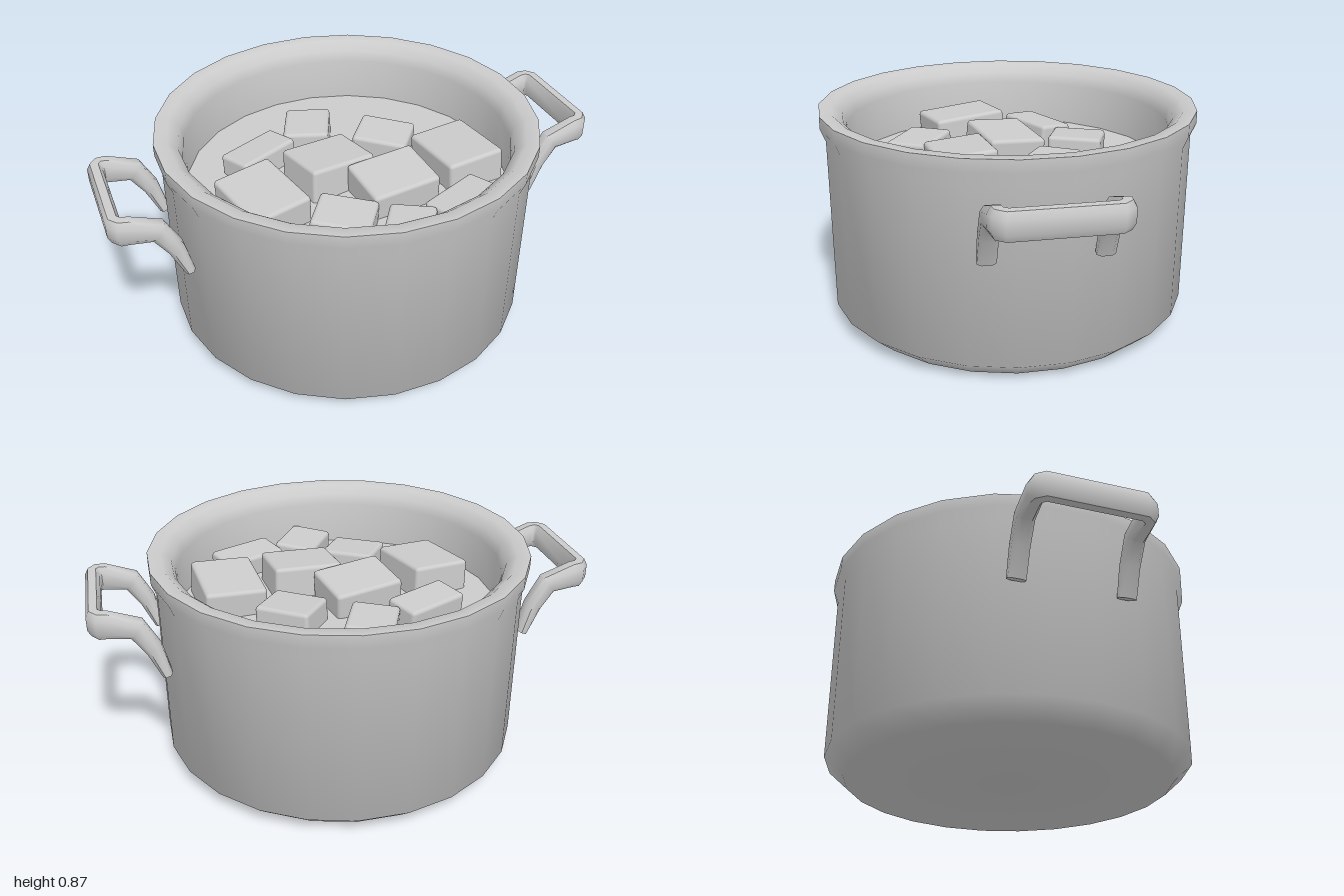
import * as THREE from 'three';
import { toCreasedNormals } from 'three/addons/utils/BufferGeometryUtils.js';
import { RoundedBoxGeometry } from 'three/addons/geometries/RoundedBoxGeometry.js';

const SIDES = 24;
const SOUP_Y = 0.61;

// Chamfered-rectangle bar swept along a path; each station is [x, y, z, halfWidth, halfHeight]
function sweepBar(stations) {
  const section = [[1, 0.5], [0.55, 1], [-0.55, 1], [-1, 0.5], [-1, -0.5], [-0.55, -1], [0.55, -1], [1, -0.5]];
  const n = section.length, last = stations.length - 1;
  const points = stations.map(s => new THREE.Vector3(s[0], s[1], s[2]));
  const heading = (a, b) => points[b].clone().sub(points[a]).normalize();
  const positions = [], index = [];
  points.forEach((p, i) => {
    const tangent = new THREE.Vector3();
    if (i > 0) tangent.add(heading(i - 1, i));
    if (i < last) tangent.add(heading(i, i + 1));
    tangent.normalize();
    const across = tangent.clone().cross(new THREE.Vector3(0, 1, 0)).normalize();
    const up = across.clone().cross(tangent);
    for (const [a, u] of section) {
      const v = p.clone().addScaledVector(across, a * stations[i][3]).addScaledVector(up, u * stations[i][4]);
      positions.push(v.x, v.y, v.z);
    }
  });
  for (let i = 0; i < last; i++) {
    for (let j = 0; j < n; j++) {
      const a = i * n + j, b = i * n + (j + 1) % n;
      index.push(a, b, a + n, b, b + n, a + n);
    }
  }
  // end caps
  for (let j = 1; j < n - 1; j++) {
    index.push(0, j + 1, j, last * n, last * n + j, last * n + j + 1);
  }
  const geometry = new THREE.BufferGeometry();
  geometry.setAttribute('position', new THREE.Float32BufferAttribute(positions, 3));
  geometry.setIndex(index);
  return toCreasedNormals(geometry, 1.0);
}

export function createModel() {
  const model = new THREE.Group();
  const material = new THREE.MeshStandardMaterial({ color: 0xcccccc, side: THREE.DoubleSide });
  const add = (name, geometry) => {
    const mesh = new THREE.Mesh(geometry, material);
    mesh.name = name;
    model.add(mesh);
    return mesh;
  };

  // Pot: base, chamfer, wall, flared rim and inner wall
  const profile = [
    [0, 0], [0.66, 0], [0.737, 0.07], [0.737, 0.77], [0.757, 0.82], [0.757, 0.87],
    [0.705, 0.868], [0.665, 0.835], [0.652, 0.79], [0.652, 0.58],
  ].map(([r, y]) => new THREE.Vector2(r, y));
  const pot = new THREE.LatheGeometry(profile, SIDES, Math.PI / SIDES);
  add('pot', toCreasedNormals(pot, 0.9));

  // Soup surface
  const soup = add('soup', new THREE.CircleGeometry(0.655, SIDES, Math.PI / SIDES));
  soup.rotation.x = -Math.PI / 2;
  soup.position.y = SOUP_Y;

  // Handles: two legs rising out of the wall, joined by a level grip
  const half = [
    [0.725, 0.5, 0.213, 0.035, 0.02],
    [0.765, 0.615, 0.213, 0.035, 0.032],
    [0.82, 0.705, 0.213, 0.035, 0.04],
    [0.925, 0.733, 0.213, 0.032, 0.05],
    [0.95, 0.733, 0.21, 0.031, 0.052],
    [0.97, 0.733, 0.185, 0.03, 0.052],
  ];
  const path = [...half, ...half.slice().reverse().map(([x, y, z, w, h]) => [x, y, -z, w, h])];
  const handle = sweepBar(path);
  add('leftHandle', handle);
  add('rightHandle', handle).rotation.y = Math.PI;

  // Food chunks floating half sunk: [x, z, width, depth, turn, top, tiltX, tiltZ]
  const chunks = [
    [-0.31, -0.19, 0.28, 0.15, 0.45, 0.70, -0.08, 0],
    [-0.055, -0.31, 0.19, 0.22, -0.4, 0.70, 0, 0.05],
    [0.22, -0.13, 0.23, 0.19, -0.66, 0.70, 0.04, -0.04],
    [-0.08, 0, 0.29, 0.24, 0.22, 0.73, -0.08, -0.06],
    [-0.4, 0.13, 0.25, 0.31, 0.25, 0.73, 0.06, 0.05],
    [0.115, 0.205, 0.29, 0.24, 0.1, 0.73, 0.08, 0.05],
    [0.44, 0.12, 0.25, 0.31, 0.1, 0.73, -0.06, 0.05],
    [-0.15, 0.345, 0.23, 0.19, -0.6, 0.70, 0.04, -0.04],
    [0.05, 0.505, 0.18, 0.23, -0.57, 0.70, 0, 0.05],
    [0.315, 0.42, 0.28, 0.15, 0.42, 0.70, -0.08, 0],
  ];
  const thickness = 0.19;
  chunks.forEach(([x, z, w, d, turn, top, tiltX, tiltZ], i) => {
    const chunk = add('foodChunk' + (i + 1), new RoundedBoxGeometry(w, thickness, d, 2, 0.016));
    chunk.rotation.set(tiltX, turn, tiltZ, 'YXZ');
    chunk.position.set(x, top - thickness / 2, z);
  });

  return model;
}
